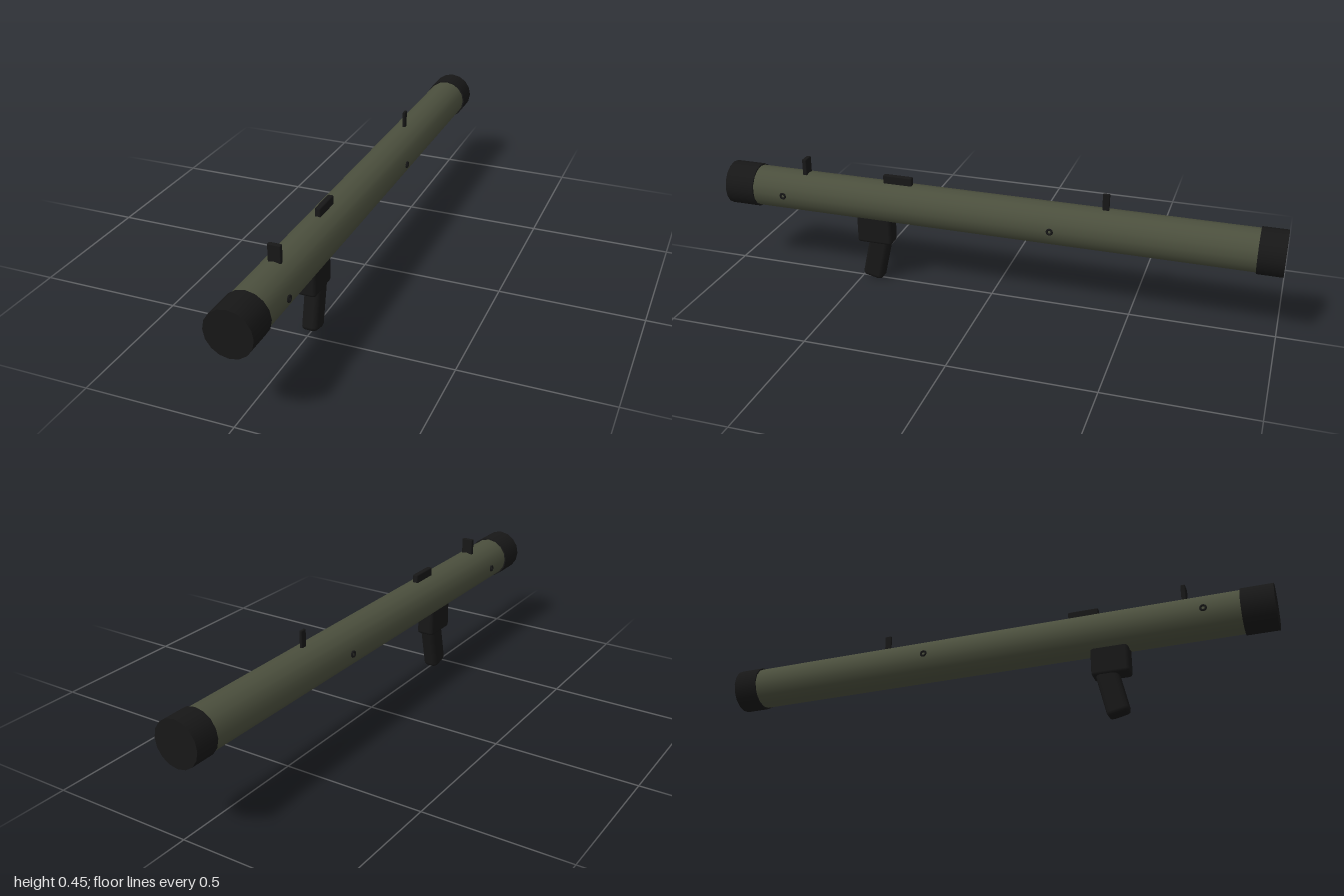
import * as THREE from 'three';
import { RoundedBoxGeometry } from 'three/addons/geometries/RoundedBoxGeometry.js';

const AXIS_Y = 0.314;

export function createModel() {
  const model = new THREE.Group();
  model.name = 'shoulderTube';
  const olive = new THREE.MeshStandardMaterial({ color: 0x4b4f3d });
  const black = new THREE.MeshStandardMaterial({ color: 0x171717 });

  const add = (name, geometry, material, x, y, z) => {
    const mesh = new THREE.Mesh(geometry, material);
    mesh.name = name;
    mesh.position.set(x, y, z);
    model.add(mesh);
    return mesh;
  };

  // Sixteen-sided cylinder along z, with a corner at the top
  const barrel = (name, radius, z0, z1, material) => {
    const geometry = new THREE.CylinderGeometry(radius, radius, z1 - z0, 16).rotateX(Math.PI / 2);
    return add(name, geometry, material, 0, AXIS_Y, (z0 + z1) / 2);
  };

  // Box with chamfered edges
  const block = (name, w, h, d, chamfer, y, z) =>
    add(name, new RoundedBoxGeometry(w, h, d, 1, chamfer), black, 0, y, z);

  // Tube and end caps
  barrel('tube', 0.074, -0.95, 0.95, olive);
  barrel('frontCap', 0.079, 0.89, 1, black);
  barrel('rearCap', 0.079, -1, -0.912, black);

  // Sights and top rail
  block('frontSight', 0.043, 0.08, 0.016, 0.003, 0.403, 0.702);
  block('rearSight', 0.01, 0.08, 0.024, 0.003, 0.406, -0.401);
  block('topRail', 0.02, 0.04, 0.108, 0.004, 0.396, 0.348);

  // Trigger housing and raked grip
  block('gripHousing', 0.066, 0.11, 0.132, 0.011, 0.205, 0.438);
  const grip = block('grip', 0.056, 0.18, 0.078, 0.016, 0.093, 0.438);
  grip.rotation.x = -0.22;

  // Sling rings on both sides
  for (const side of [-1, 1]) {
    for (const z of [0.77, -0.226]) {
      const geometry = new THREE.TorusGeometry(0.009, 0.004, 6, 12).rotateY(Math.PI / 2);
      add('slingRing', geometry, black, side * 0.075, AXIS_Y, z);
    }
  }
  return model;
}
